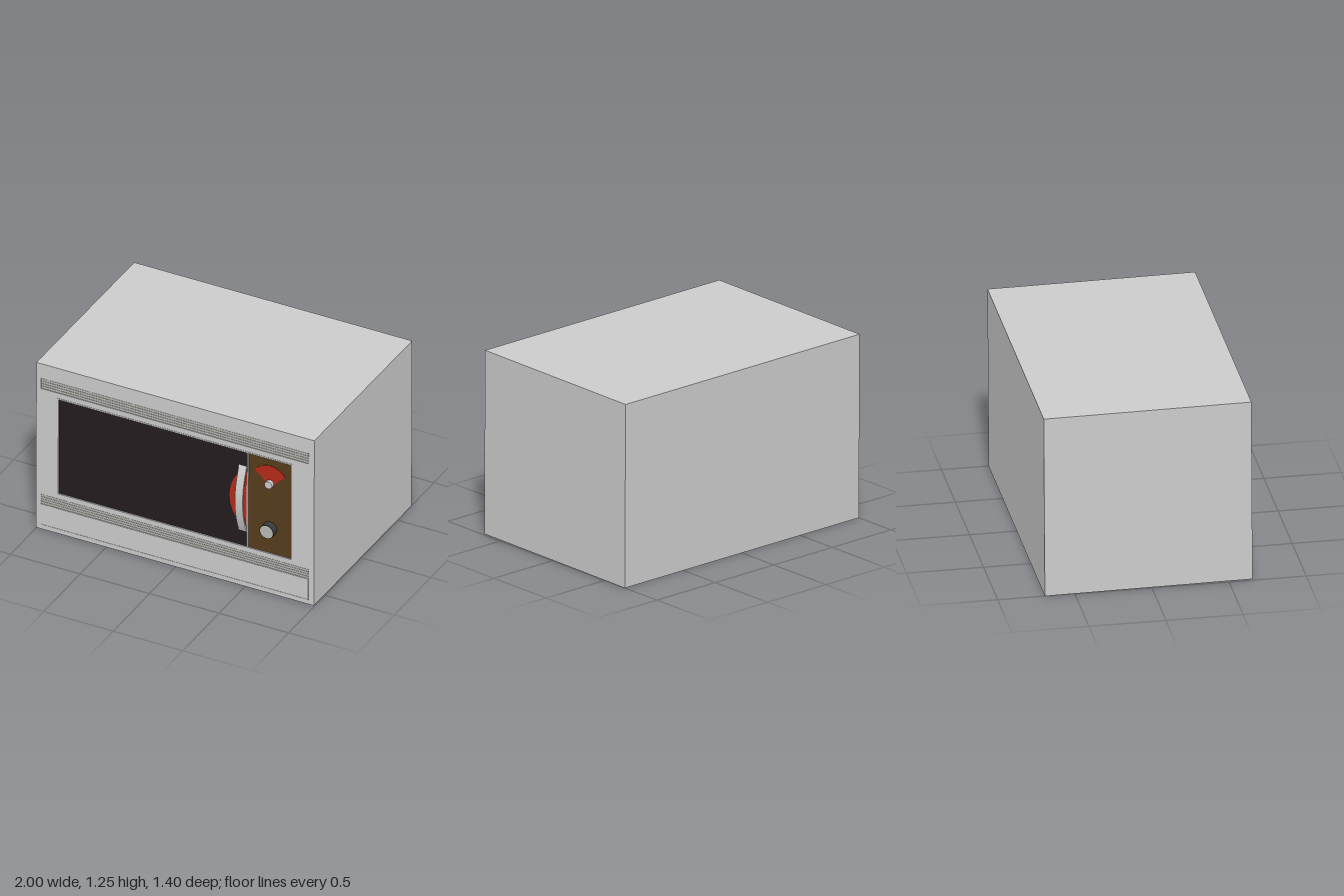
import * as THREE from 'three';

const mat = (color, side = THREE.FrontSide) => new THREE.MeshStandardMaterial({ color, side });
const grey = mat(0xcccccc), ventGrey = mat(0xb4b4b0), glassMat = mat(0x241c1e);
const brown = mat(0x573c1c), red = mat(0xb42a18), dark = mat(0x3a3a3a), capGrey = mat(0xb8b8b4);

const BOTTOM = 0.01, TOP = 1.255, BACK = -0.6975, FRONT = 0.6485, PLATE = 0.02;

function add(parent, name, geometry, material, x = 0, y = 0, z = 0) {
  const mesh = new THREE.Mesh(geometry, material);
  mesh.name = name;
  mesh.position.set(x, y, z);
  parent.add(mesh);
  return mesh;
}

// Box given by its limits
function block(parent, name, material, x0, x1, y0, y1, z0, z1) {
  return add(parent, name, new THREE.BoxGeometry(x1 - x0, y1 - y0, z1 - z0), material,
    (x0 + x1) / 2, (y0 + y1) / 2, (z0 + z1) / 2);
}

function rect(x0, x1, y0, y1, Type = THREE.Shape) {
  return new Type([[x0, y0], [x1, y0], [x1, y1], [x0, y1]].map(p => new THREE.Vector2(...p)));
}

function plate(shape, depth) {
  return new THREE.ExtrudeGeometry(shape, { depth, bevelEnabled: false, curveSegments: 24 });
}

// Rectangular rim
function rim(parent, name, material, x0, x1, y0, y1, width, z0, z1) {
  const shape = rect(x0, x1, y0, y1);
  shape.holes.push(rect(x0 + width, x1 - width, y0 + width, y1 - width, THREE.Path));
  add(parent, name, plate(shape, z1 - z0), material, 0, 0, z0);
}

// Four rounded slats stacked in a dark slot
function vent(parent, name, y0, y1) {
  const group = new THREE.Group();
  group.name = name;
  block(group, 'ventSlot', dark, -0.96, 0.955, y0 + 0.002, y1 - 0.002, FRONT - PLATE, FRONT - 0.012);
  const pitch = (y1 - y0) / 4, r = pitch * 0.46;
  for (let i = 0; i < 4; i++) {
    const slat = new THREE.Shape();
    slat.absarc(0.96 - r, 0, r, -Math.PI / 2, Math.PI / 2);
    slat.absarc(-0.965 + r, 0, r, Math.PI / 2, Math.PI * 1.5);
    add(group, 'ventSlat', plate(slat, 0.012), ventGrey, 0, y0 + pitch * (i + 0.5), FRONT - 0.013);
  }
  parent.add(group);
}

// Round knob facing forward, with a separate cap colour
function knob(parent, name, x, y, radius, z1, sideMat, capMat) {
  const depth = z1 - FRONT + 0.01;
  const geometry = new THREE.CylinderGeometry(radius, radius, depth, 32);
  geometry.rotateX(Math.PI / 2);
  add(parent, name, geometry, sideMat, x, y, z1 - depth / 2);
  add(parent, name + 'Cap', new THREE.CircleGeometry(radius * 0.92, 32), capMat, x, y, z1 + 0.001);
}

export function createModel() {
  const oven = new THREE.Group();
  oven.name = 'microwaveOven';

  // Cabinet and front plate with openings
  block(oven, 'cabinet', grey, -1, 1, BOTTOM, TOP, BACK, FRONT - PLATE);
  const front = rect(-1, 1, BOTTOM, TOP);
  for (const [x0, x1, y0, y1] of [
    [-0.84, 0.835, 0.31, 1.02],
    [-0.965, 0.96, 1.068, 1.146],
    [-0.965, 0.96, 0.2, 0.272],
  ]) front.holes.push(rect(x0, x1, y0, y1, THREE.Path));
  add(oven, 'frontPlate', plate(front, PLATE), grey, 0, 0, FRONT - PLATE);
  rim(oven, 'windowFrame', grey, -0.85, 0.845, 0.3, 1.03, 0.01, FRONT - 0.005, FRONT + 0.002);
  rim(oven, 'lowerPanelTrim', grey, -0.965, 0.96, 0.04, 0.198, 0.005, FRONT - 0.005, FRONT + 0.002);
  vent(oven, 'upperVent', 1.07, 1.145);
  vent(oven, 'lowerVent', 0.201, 0.271);

  // Door window, divider and control panel
  const inset = FRONT - 0.008;
  block(oven, 'doorWindow', glassMat, -0.84, 0.515, 0.31, 1.02, FRONT - PLATE, inset);
  block(oven, 'doorDivider', grey, 0.515, 0.525, 0.31, 1.02, FRONT - PLATE, FRONT);
  block(oven, 'controlPanel', brown, 0.525, 0.835, 0.31, 1.02, FRONT - PLATE, inset);

  // Curved finger grip behind the handle
  const grip = new THREE.Shape();
  grip.absellipse(0.515, 0.667, 0.125, 0.2, Math.PI / 2, Math.PI * 1.5);
  add(oven, 'fingerGrip', plate(grip, 0.003), red, 0, 0, inset);
  const hollow = new THREE.Shape();
  hollow.moveTo(0.472, 0.53);
  hollow.quadraticCurveTo(0.38, 0.667, 0.472, 0.804);
  hollow.lineTo(0.472, 0.53);
  add(oven, 'fingerGripHollow', plate(hollow, 0.002), brown, 0, 0, inset + 0.003);

  // Bowed handle: side profile swept across its width
  const bow = new THREE.Shape();
  bow.moveTo(FRONT - 0.008, 0.42);
  bow.quadraticCurveTo(0.753, 0.665, FRONT - 0.008, 0.91);
  bow.lineTo(FRONT - 0.008, 0.88);
  bow.quadraticCurveTo(0.733, 0.665, FRONT - 0.008, 0.45);
  bow.closePath();
  const bowGeometry = plate(bow, 0.055);
  bowGeometry.rotateY(-Math.PI / 2);
  // Turn the swept profile to bulge forward
  add(oven, 'doorHandle', bowGeometry, grey, 0.51, 0, 0);

  // Timer dial: fan-shaped scale and small knob
  const fan = new THREE.Shape();
  fan.moveTo(0.68, 0.815);
  fan.lineTo(0.65, 0.83);
  fan.quadraticCurveTo(0.62, 0.875, 0.583, 0.895);
  fan.quadraticCurveTo(0.565, 0.912, 0.59, 0.932);
  fan.quadraticCurveTo(0.68, 1.003, 0.77, 0.932);
  fan.quadraticCurveTo(0.795, 0.912, 0.777, 0.895);
  fan.quadraticCurveTo(0.74, 0.875, 0.71, 0.83);
  fan.closePath();
  add(oven, 'dialScale', plate(fan, 0.003), red, 0, 0, inset);
  knob(oven, 'dialKnob', 0.68, 0.835, 0.027, 0.67, grey, grey);
  knob(oven, 'mainKnob', 0.68, 0.495, 0.05, 0.691, dark, capGrey);

  // Very slight backward lean about the cabinet's centre
  const pivot = new THREE.Vector3(0, (BOTTOM + TOP) / 2, (BACK + FRONT) / 2);
  oven.position.copy(pivot).negate();
  const model = new THREE.Group();
  const lean = new THREE.Group();
  lean.name = 'leaningBody';
  lean.position.copy(pivot);
  lean.rotation.x = -0.006;
  lean.add(oven);
  model.add(lean);
  return model;
}
